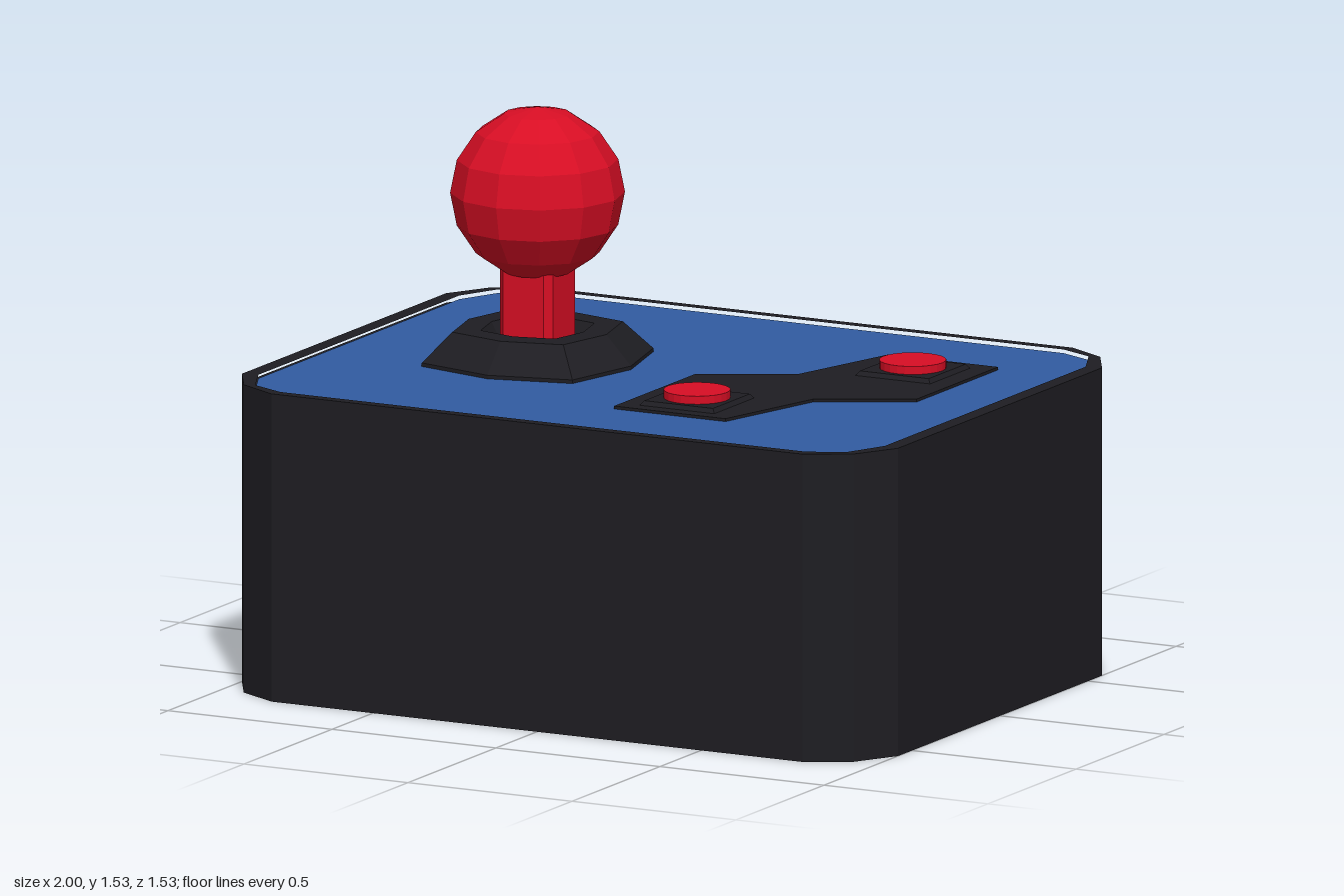
import * as THREE from 'three';

const mat = (color) => new THREE.MeshStandardMaterial({ color, flatShading: true });
const black = mat(0x1e1d22), blue = mat(0x315ca2), red = mat(0xd80e24);

function add(group, name, geometry, material, x = 0, y = 0, z = 0) {
  const mesh = new THREE.Mesh(geometry, material);
  mesh.name = name;
  mesh.position.set(x, y, z);
  group.add(mesh);
  return mesh;
}

// Upright prism over an outline of [x, z] points, with an optional hole
function prism(points, y0, y1, hole) {
  const toVectors = (list) => list.map(([x, z]) => new THREE.Vector2(x, -z));
  const shape = new THREE.Shape(toVectors(points));
  if (hole) shape.holes.push(new THREE.Path(toVectors(hole)));
  const geometry = new THREE.ExtrudeGeometry(shape, { depth: y1 - y0, bevelEnabled: false });
  return geometry.rotateX(-Math.PI / 2).translate(0, y0, 0);
}

// Mirrors one corner's points into a full four-cornered outline
function fourCorners(corner) {
  const flip = (sx, sz) => corner.map(([x, z]) => [x * sx, z * sz]);
  return [
    ...flip(1, 1), ...flip(-1, 1).reverse(),
    ...flip(-1, -1), ...flip(1, -1).reverse(),
  ];
}

export function createModel() {
  const model = new THREE.Group();
  model.name = 'joystickController';

  // Case with a raised rim around the coloured top panel
  const outer = fourCorners([[1, 0.58], [0.93, 0.7], [0.81, 0.767]]);
  const inner = fourCorners([[0.955, 0.57], [0.9, 0.69], [0.8, 0.735]]);
  add(model, 'case', prism(outer, 0, 0.82), black);
  add(model, 'rim', prism(outer, 0.82, 0.846, inner), black);
  add(model, 'topPanel', prism(inner, 0.82, 0.836), blue);

  // Stick collar: eight-sided ring with a sunken middle, its diagonals pushed out
  const profile = [[0.285, 0.834], [0.285, 0.846], [0.21, 0.925], [0.14, 0.925], [0.1, 0.85], [0, 0.85]];
  const collar = new THREE.LatheGeometry(profile.map(([r, y]) => new THREE.Vector2(r, y)), 8);
  const p = collar.attributes.position;
  for (let i = 0; i < p.count; i++) {
    const x = p.getX(i), z = p.getZ(i);
    if (Math.abs(x) > 0.01 && Math.abs(z) > 0.01) p.setXYZ(i, x * 1.14, p.getY(i), z * 1.14);
  }
  const stick = new THREE.Group();
  stick.name = 'stick';
  stick.position.x = -0.41;
  model.add(stick);
  add(stick, 'collar', collar, black);
  add(stick, 'stem', prism(fourCorners([[0.081, 0.062], [0.062, 0.081]]), 0.84, 1.12), red);
  add(stick, 'ball', new THREE.SphereGeometry(0.235, 12, 8), red, 0, 1.295, 0);

  // Z-shaped button plate
  const plate = [
    [0.07, 0], [0.315, -0.135], [0.41, -0.465], [0.745, -0.465],
    [0.745, 0], [0.5, 0.13], [0.41, 0.46], [0.07, 0.46],
  ];
  add(model, 'buttonPlate', prism(plate, 0.83, 0.844), black);

  // Two round buttons on bevelled square pads
  for (const [x, z] of [[0.24, 0.305], [0.572, -0.302]]) {
    const button = new THREE.Group();
    button.name = 'button';
    button.position.set(x, 0, z);
    model.add(button);
    const pad = new THREE.CylinderGeometry(0.105 * Math.SQRT2, 0.118 * Math.SQRT2, 0.018, 4).rotateY(Math.PI / 4);
    add(button, 'buttonPad', pad, black, 0, 0.847, 0);
    add(button, 'buttonCap', new THREE.CylinderGeometry(0.09, 0.09, 0.033, 24), red, 0, 0.8615, 0);
  }
  return model;
}
